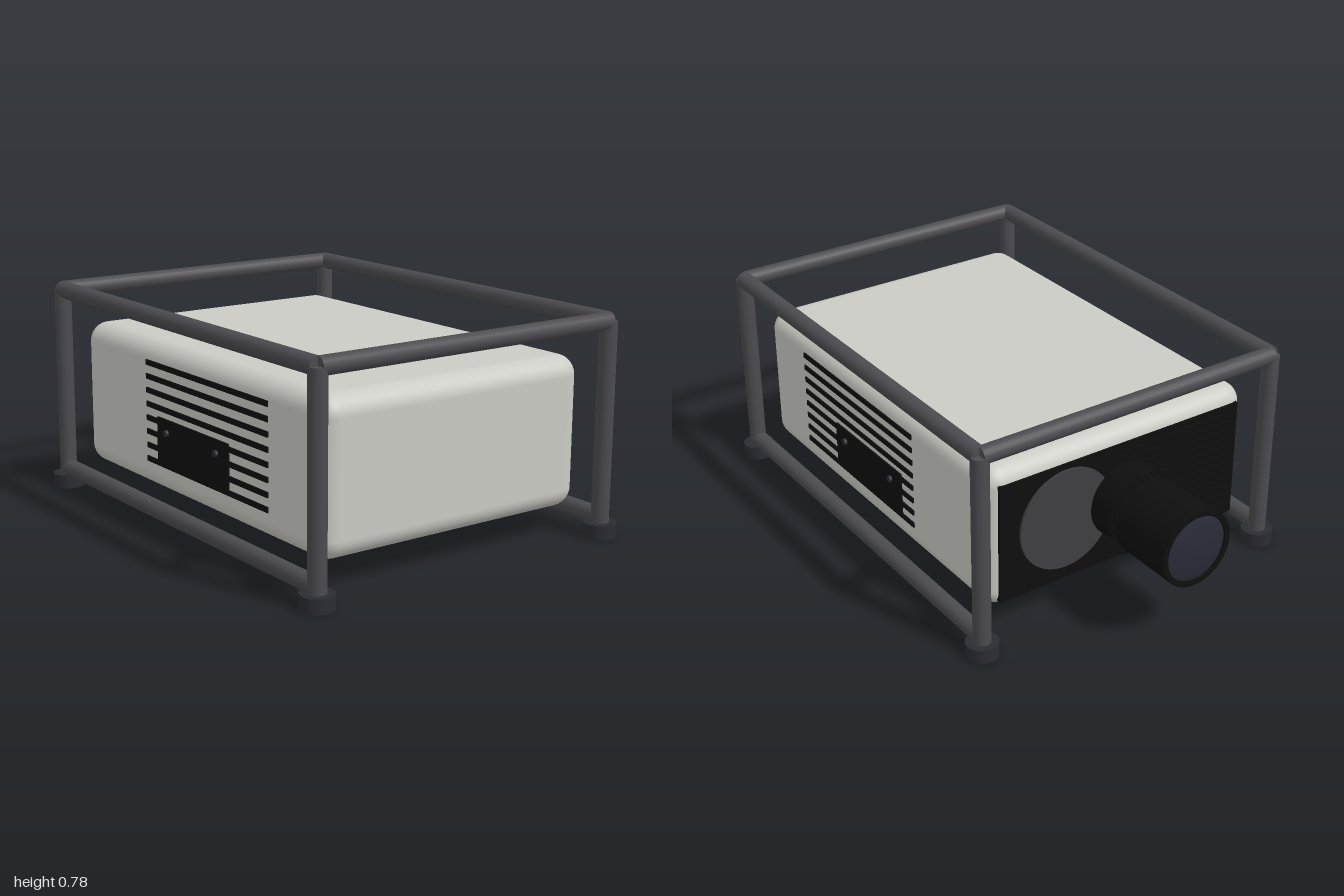
import * as THREE from 'three';
import { RoundedBoxGeometry } from 'three/addons/geometries/RoundedBoxGeometry.js';

const paint = (name, color) => {
  const m = new THREE.MeshStandardMaterial({ color });
  m.name = name;
  return m;
};

export function createModel() {
  const shell = paint('warm grey shell', 0xcacbc4);
  const steel = paint('grey steel', 0x4b4b50);
  const rubber = paint('dark rubber', 0x2b2b33);
  const black = paint('black plastic', 0x0e0e0f);
  const discGrey = paint('dark grey disc', 0x3e3e41);
  const glass = paint('lens glass', 0x2a2a36);

  const model = new THREE.Group();
  const add = (name, geometry, material, x, y, z, parent = model) => {
    const mesh = new THREE.Mesh(geometry, material);
    mesh.name = name;
    mesh.position.set(x, y, z);
    parent.add(mesh);
    return mesh;
  };
  const box = (w, h, d) => new THREE.BoxGeometry(w, h, d);
  const rod = (r, length, axis = 'y', sides = 20) => {
    const g = new THREE.CylinderGeometry(r, r, length, sides);
    if (axis === 'x') g.rotateZ(Math.PI / 2);
    if (axis === 'z') g.rotateX(Math.PI / 2);
    return g;
  };

  // Rounded housing
  add('housing', new RoundedBoxGeometry(1.074, 0.528, 1.49, 6, 0.07), shell, 0, 0.365, 0.145);

  // Tube cage with rubber feet
  const cage = new THREE.Group();
  cage.name = 'cage';
  model.add(cage);
  const postX = 0.595, backZ = -0.645, frontZ = 0.94, r = 0.031;
  const midZ = (backZ + frontZ) / 2, depth = frontZ - backZ;
  for (const z of [backZ, frontZ]) {
    add('topCrossRail', rod(r, postX * 2, 'x'), steel, 0, 0.745, z, cage);
    for (const side of [-1, 1]) {
      add('post', rod(r, 0.705), steel, side * postX, 0.3925, z, cage);
      add('foot', rod(0.057, 0.05, 'y', 28), rubber, side * postX, 0.025, z, cage);
    }
  }
  for (const side of [-1, 1]) {
    for (const y of [0.07, 0.745]) {
      add('sideRail', rod(r, depth, 'z'), steel, side * postX, y, midZ, cage);
    }
  }

  // Vent slots, cover plate and screws on both sides
  for (const side of [-1, 1]) {
    const vents = new THREE.Group();
    vents.name = side > 0 ? 'leftVents' : 'rightVents';
    model.add(vents);
    for (let i = 0; i < 8; i++) {
      add('ventSlot', box(0.009, 0.019, 0.745), black, side * 0.5375, 0.21 + i * 0.0494, 0.2275, vents);
    }
    add('coverPlate', box(0.009, 0.172, 0.445), black, side * 0.5395, 0.29, 0.1525, vents);
    for (const z of [-0.005, 0.308]) {
      add('screw', rod(0.012, 0.012, 'x', 12), rubber, side * 0.548, 0.33, z, vents);
    }
  }

  // Back panel with grille and round cover
  add('backPanel', box(0.99, 0.44, 0.035), black, 0, 0.355, -0.5875);
  for (let i = 0; i < 12; i++) {
    add('grilleBar', box(0.45, 0.014, 0.009), black, -0.235, 0.185 + i * 0.0325, -0.608);
  }
  add('roundCover', rod(0.185, 0.012, 'z', 48), discGrey, 0.235, 0.37, -0.608);

  // Lens barrel with a hollow rim, knurled focus ring and domed glass
  const lens = new THREE.Group();
  lens.name = 'lens';
  lens.position.set(0, 0.368, 0);
  lens.rotation.x = -Math.PI / 2; // local +y points backwards
  model.add(lens);
  const profile = [[0.1375, 0.6], [0.1375, 0.99], [0.1375, 0.99], [0.118, 0.99], [0.118, 0.99], [0.115, 0.97]]
    .map(([x, y]) => new THREE.Vector2(x, y));
  add('barrel', new THREE.LatheGeometry(profile, 48), black, 0, 0, 0, lens);
  add('focusRing', rod(0.142, 0.035, 'y', 48), black, 0, 0.7275, 0, lens);
  for (let i = 0; i < 32; i++) {
    const a = (i / 32) * Math.PI * 2;
    const rib = add('focusRib', box(0.01, 0.03, 0.01), black, Math.cos(a) * 0.142, 0.7275, Math.sin(a) * 0.142, lens);
    rib.rotation.y = -a;
  }
  const dome = [[0.119, 0.983], [0.09, 0.991], [0.055, 0.997], [0.0, 1.0]]
    .map(([x, y]) => new THREE.Vector2(x, y));
  add('lensGlass', new THREE.LatheGeometry(dome, 40), glass, 0, 0, 0, lens);

  return model;
}
